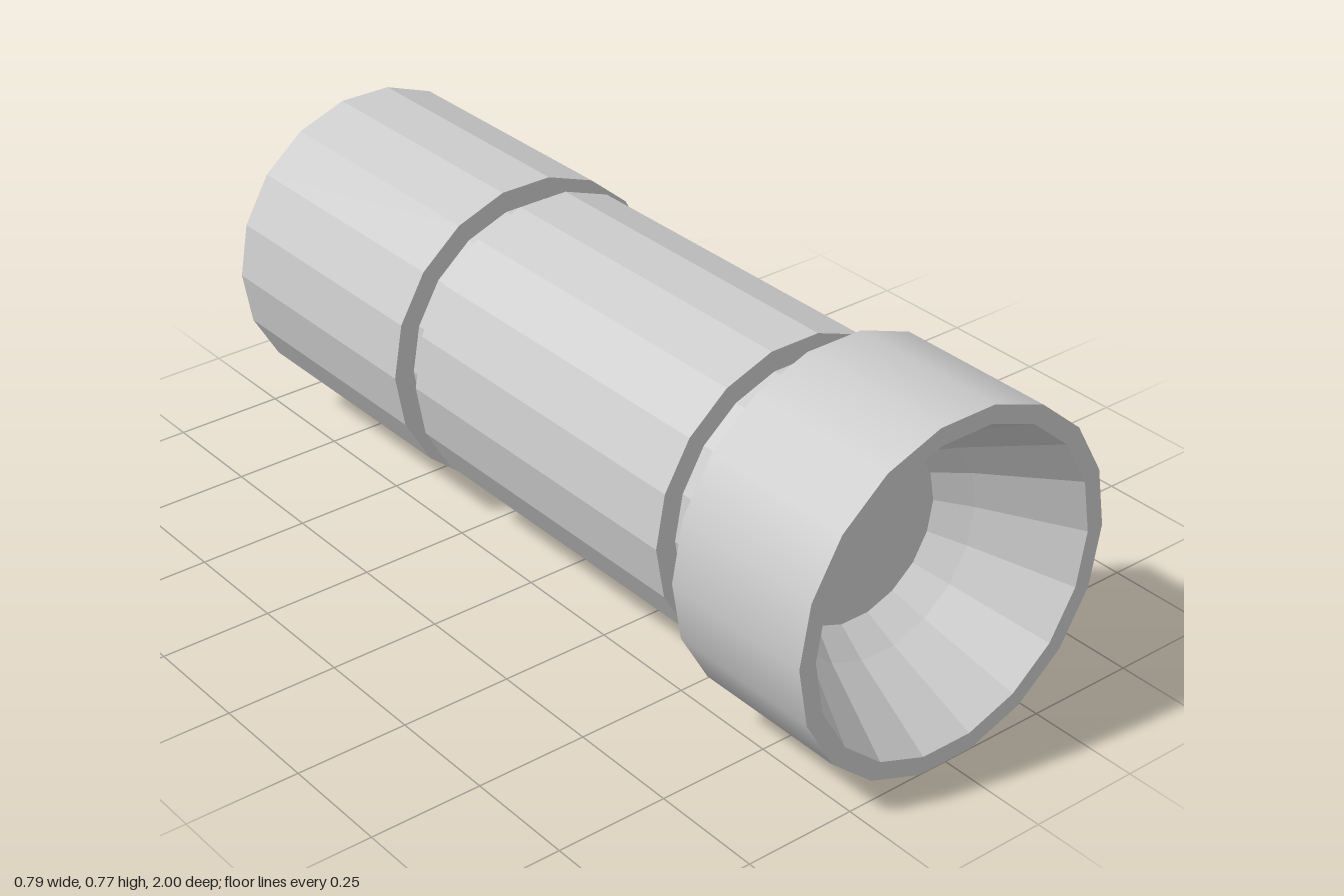
import * as THREE from 'three';

const SIDES = 18;
const AXIS_Y = 0.387; // height of the centre line

const faceted = new THREE.MeshStandardMaterial({ color: 0xcccccc, flatShading: true });
const smooth = new THREE.MeshStandardMaterial({ color: 0xcccccc });

// Turned part along z; profile is [radius, z] pairs, running from back to front on outer walls
function turned(name, profile, material = faceted) {
  const points = profile.map(([r, z]) => new THREE.Vector2(r, z));
  const geometry = new THREE.LatheGeometry(points, SIDES, Math.PI / 2);
  geometry.rotateX(Math.PI / 2);
  const mesh = new THREE.Mesh(geometry, material);
  mesh.name = name;
  mesh.position.y = AXIS_Y;
  return mesh;
}

export function createModel() {
  const model = new THREE.Group();
  model.name = 'turnedTube';
  model.add(
    // Rear barrel with flat cap and chamfered edge
    turned('rearBarrel', [[0, -1], [0.242, -1], [0.353, -0.935], [0.353, -0.33], [0.305, -0.33]]),
    turned('rearGroove', [[0.305, -0.33], [0.305, -0.27]]),
    // Middle barrel
    turned('middleBarrel', [[0.305, -0.27], [0.342, -0.27], [0.342, 0.53], [0.295, 0.53]]),
    turned('frontGroove', [[0.295, 0.53], [0.295, 0.57]]),
    // Collar: faceted shoulder, smooth wall
    turned('collarShoulder', [[0.295, 0.57], [0.393, 0.64]]),
    turned('collarWall', [[0.393, 0.64], [0.393, 1]], smooth),
    // Rim and hollow cup with a flat floor
    turned('collarRim', [[0.393, 1], [0.353, 1]]),
    turned('cup', [[0.353, 1], [0.245, 0.8], [0.199, 0.73], [0, 0.73]]),
  );
  return model;
}
